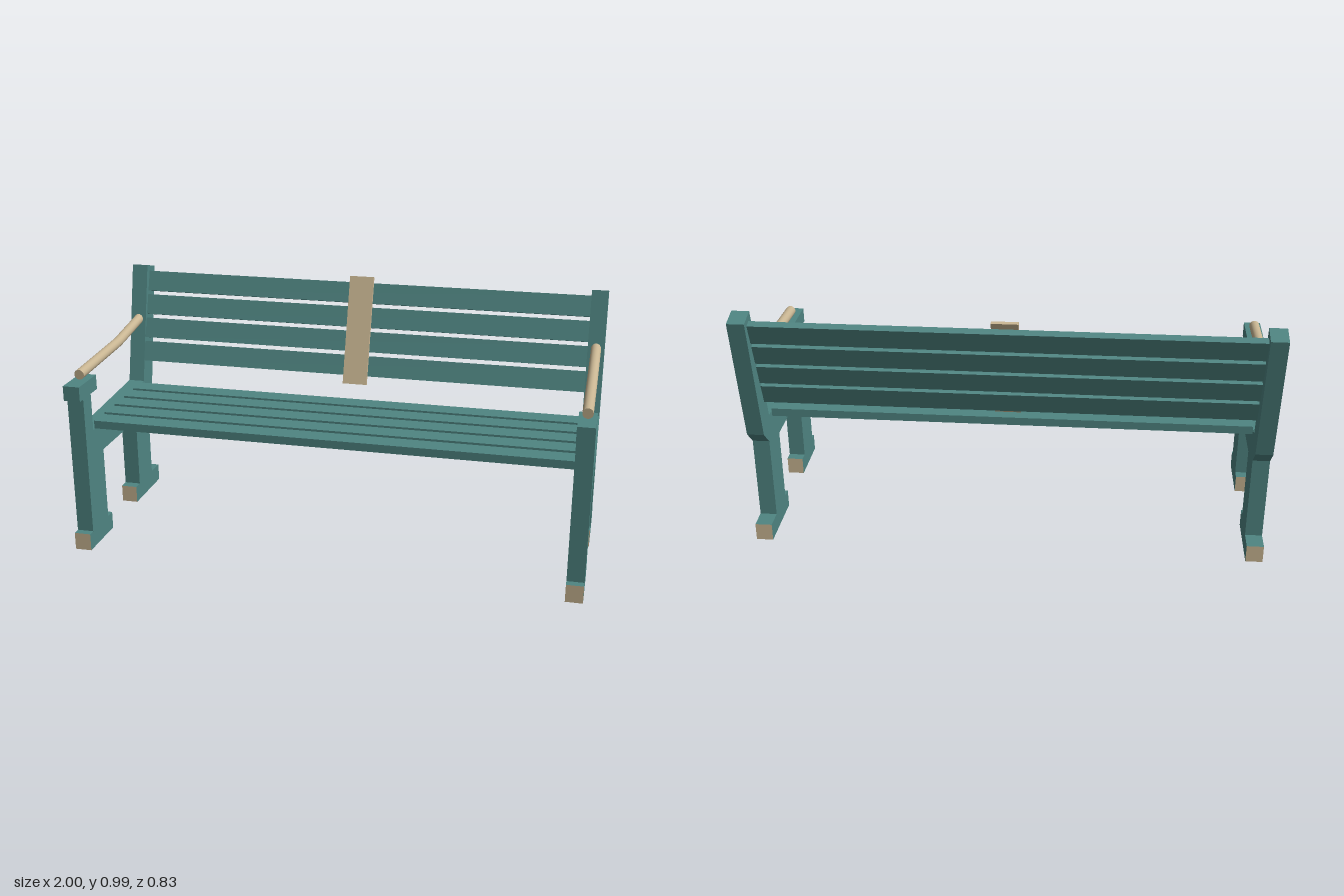
import * as THREE from 'three';

const teal = new THREE.MeshStandardMaterial({ color: 0x4f8582 });
teal.name = 'teal paint';
const wood = new THREE.MeshStandardMaterial({ color: 0xc8b592 });
wood.name = 'bare wood';

const FRAME_W = 0.066;
const FRAME_X = 1 - FRAME_W / 2;
const SLAT_LEN = 2 - 2 * FRAME_W;
const LEAN = THREE.MathUtils.degToRad(18);

function addMesh(parent, name, geometry, material, x = 0, y = 0, z = 0) {
  const mesh = new THREE.Mesh(geometry, material);
  mesh.name = name;
  mesh.position.set(x, y, z);
  parent.add(mesh);
  return mesh;
}

// z of the leaning back plane at height y
const backZ = (y) => -0.24 - Math.tan(LEAN) * (y - 0.6);

// Side frame outline as [z, y]: legs, seat rail, arm post with cap, back post
const OUTLINE = [
  [0.385, 0.07], [0.235, 0.07], [0.235, 0.365], [-0.11, 0.365], [-0.11, 0.07],
  [-0.253, 0.07], [-0.253, 0.405], [-0.313, 0.465], [-0.413, 0.97], [-0.335, 0.99],
  [-0.222, 0.505], [0.315, 0.475], [0.315, 0.628], [0.255, 0.628], [0.255, 0.687],
  [0.415, 0.687], [0.415, 0.628], [0.385, 0.628],
];

function createSide(sign) {
  const side = new THREE.Group();
  side.name = sign > 0 ? 'leftSide' : 'rightSide';
  side.position.x = sign * FRAME_X;

  const shape = new THREE.Shape(OUTLINE.map(([z, y]) => new THREE.Vector2(z, y)));
  const frame = new THREE.ExtrudeGeometry(shape, { depth: FRAME_W, bevelEnabled: false });
  frame.translate(0, 0, -FRAME_W / 2);
  frame.rotateY(-Math.PI / 2);
  addMesh(side, 'sideFrame', frame, teal);

  // Feet: painted sides and top, bare ends and sole
  const footFaces = [teal, teal, teal, wood, wood, wood];
  for (const [name, z0, z1] of [['frontFoot', 0.195, 0.415], ['backFoot', -0.333, -0.07]]) {
    addMesh(side, name, new THREE.BoxGeometry(FRAME_W, 0.07, z1 - z0), footFaces,
      0, 0.035, (z0 + z1) / 2);
  }

  // Round handrail with one slight bend, running into the back post
  const points = [[0.71, 0.335], [0.729, -0.05], [0.771, -0.33]]
    .map(([y, z]) => new THREE.Vector3(0, y, z));
  const path = new THREE.CurvePath();
  path.add(new THREE.LineCurve3(points[0], points[1]));
  path.add(new THREE.LineCurve3(points[1], points[2]));
  addMesh(side, 'handrail', new THREE.TubeGeometry(path, 24, 0.02, 20), wood);
  const cap = addMesh(side, 'handrailEnd', new THREE.CircleGeometry(0.02, 20), wood,
    0, points[0].y, points[0].z);
  cap.rotation.x = 0.049;
  return side;
}

export function createModel() {
  const bench = new THREE.Group();
  bench.name = 'bench';
  bench.add(createSide(1), createSide(-1));

  // Seat slats
  for (let i = 0; i < 5; i++) {
    addMesh(bench, 'seatSlat', new THREE.BoxGeometry(SLAT_LEN, 0.032, 0.08), teal,
      0, 0.496, 0.263 - i * 0.101);
  }

  // Back slats, front faces on the leaning plane
  const thick = 0.03;
  for (let i = 0; i < 4; i++) {
    const y = 0.634 + i * 0.0955;
    const slat = addMesh(bench, 'backSlat', new THREE.BoxGeometry(SLAT_LEN, 0.084, thick), teal,
      0, y - Math.sin(LEAN) * thick / 2, backZ(y) - Math.cos(LEAN) * thick / 2);
    slat.rotation.x = -LEAN;
  }

  // Upright board fixed to the front of the back slats
  const board = addMesh(bench, 'centreBoard', new THREE.BoxGeometry(0.1, 0.445, 0.014), wood,
    0, 0.772 + Math.sin(LEAN) * 0.007, backZ(0.772) + Math.cos(LEAN) * 0.007);
  board.rotation.x = -LEAN;

  return bench;
}
